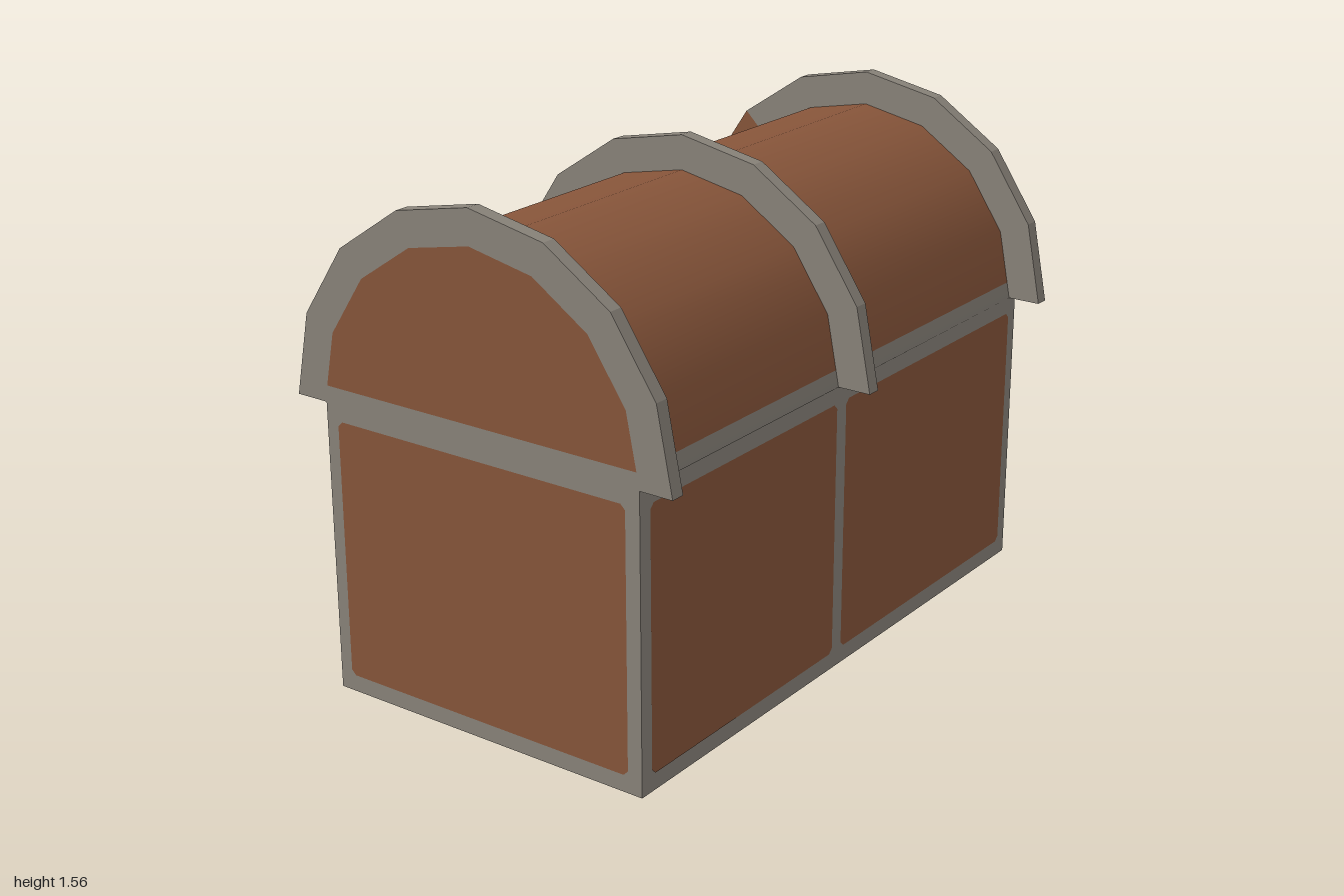
import * as THREE from 'three';

export function createModel() {
  const group = new THREE.Group();
  const wood = new THREE.MeshStandardMaterial({ color: 0x87553a });
  wood.name = 'brown wood';
  const iron = new THREE.MeshStandardMaterial({ color: 0x89837a });
  iron.name = 'grey iron';

  const W = 0.555, RIM = 0.9, SEAM = 0.95, OUTER = 0.66, LIFT = 0.002;

  const add = (name, geometry, material, parent = group) => {
    const mesh = new THREE.Mesh(geometry, material);
    mesh.name = name;
    parent.add(mesh);
    return mesh;
  };
  // Half circle in eight straight steps, from +x over the top to -x
  const arc = (r) => Array.from({ length: 9 }, (_, i) => {
    const a = (i * Math.PI) / 8;
    return new THREE.Vector2(r * Math.cos(a), RIM + r * Math.sin(a));
  });
  const outer = arc(OUTER), inner = arc(W);

  // Body in iron, with thin wooden panels laid on each face
  add('bodyFrame', new THREE.BoxGeometry(2 * W - 2 * LIFT, RIM - LIFT, 2 - 2 * LIFT), iron)
    .position.y = (RIM + LIFT) / 2;

  // Panel with clipped corners; u and v are the face's own axes
  const panel = (u0, u1, v0, v1, c = 0.015) => new THREE.ShapeGeometry(new THREE.Shape([
    [u0 + c, v0], [u1 - c, v0], [u1, v0 + c], [u1, v1 - c],
    [u1 - c, v1], [u0 + c, v1], [u0, v1 - c], [u0, v0 + c],
  ].map(([u, v]) => new THREE.Vector2(u, v))));

  for (const s of [1, -1]) {
    const end = add(s > 0 ? 'frontPanel' : 'backPanel', panel(-0.51, 0.507, 0.055, 0.85), wood);
    end.position.z = s;
    if (s < 0) end.rotation.y = Math.PI;
    for (const [z0, z1] of [[0.06, 0.955], [-0.955, 0.012]]) {
      const side = add(s > 0 ? 'leftPanel' : 'rightPanel',
        s > 0 ? panel(-z1, -z0, 0.055, 0.85) : panel(z0, z1, 0.055, 0.85), wood);
      side.position.x = s * W;
      side.rotation.y = (s * Math.PI) / 2;
    }
  }
  for (const [z0, z1] of [[0.055, 0.955], [-0.955, 0.01]]) {
    add('bottomPanel', panel(-W, W, z0, z1, 0), wood).rotation.x = Math.PI / 2;
  }

  // Lid skin: a sheet along z with smooth radial normals
  const sheet = (points) => {
    const position = [], normal = [], index = [];
    points.forEach((p, i) => {
      const n = p.clone().sub(new THREE.Vector2(0, RIM)).normalize();
      for (const z of [1, -1]) {
        position.push(p.x, p.y, z);
        normal.push(n.x, n.y, 0);
      }
      if (i) {
        const a = 2 * (i - 1);
        index.push(a, a + 1, a + 2, a + 1, a + 3, a + 2);
      }
    });
    const g = new THREE.BufferGeometry();
    g.setAttribute('position', new THREE.Float32BufferAttribute(position, 3));
    g.setAttribute('normal', new THREE.Float32BufferAttribute(normal, 3));
    g.setIndex(index);
    return g;
  };
  const t = (SEAM - RIM) / (inner[1].y - RIM);
  const seamL = inner[0].clone().lerp(inner[1], t);
  const seamR = inner[8].clone().lerp(inner[7], t);
  const dome = [seamL, ...inner.slice(1, 8), seamR];

  const lid = new THREE.Group();
  lid.name = 'lid';
  group.add(lid);
  add('lidSkin', sheet(dome), wood, lid);
  add('lidRimLeft', sheet([inner[0], seamL]), iron, lid);
  add('lidRimRight', sheet([seamR, inner[8]]), iron, lid);

  // Lid ends: wooden half-round above an iron rail
  for (const s of [1, -1]) {
    const parts = [
      add('lidEndPanel', new THREE.ShapeGeometry(new THREE.Shape(dome)), wood, lid),
      add('lidEndRail', new THREE.ShapeGeometry(
        new THREE.Shape([inner[0], seamL, seamR, inner[8]])), iron, lid),
    ];
    for (const m of parts) {
      m.position.z = s;
      if (s < 0) m.rotation.y = Math.PI;
    }
  }

  // Three arched iron bands
  const bandShape = new THREE.Shape([...outer, ...inner.slice().reverse()]);
  for (const [name, z] of [['frontBand', 0.955], ['middleBand', 0.011], ['backBand', -1]]) {
    add(name, new THREE.ExtrudeGeometry(bandShape, { depth: 0.045, bevelEnabled: false }), iron, lid)
      .position.z = z;
  }

  // Wooden patch on the inner face and foot of the back band
  add('backBandPatch', new THREE.ShapeGeometry(new THREE.Shape(
    [...outer.slice(6), ...inner.slice(6).reverse()])), wood, lid).position.z = -0.955 + LIFT;
  const foot = add('backBandFoot', new THREE.PlaneGeometry(OUTER - W, 0.045), wood, lid);
  foot.rotation.x = Math.PI / 2;
  foot.position.set(-(OUTER + W) / 2, RIM - LIFT, -0.9775);

  return group;
}
